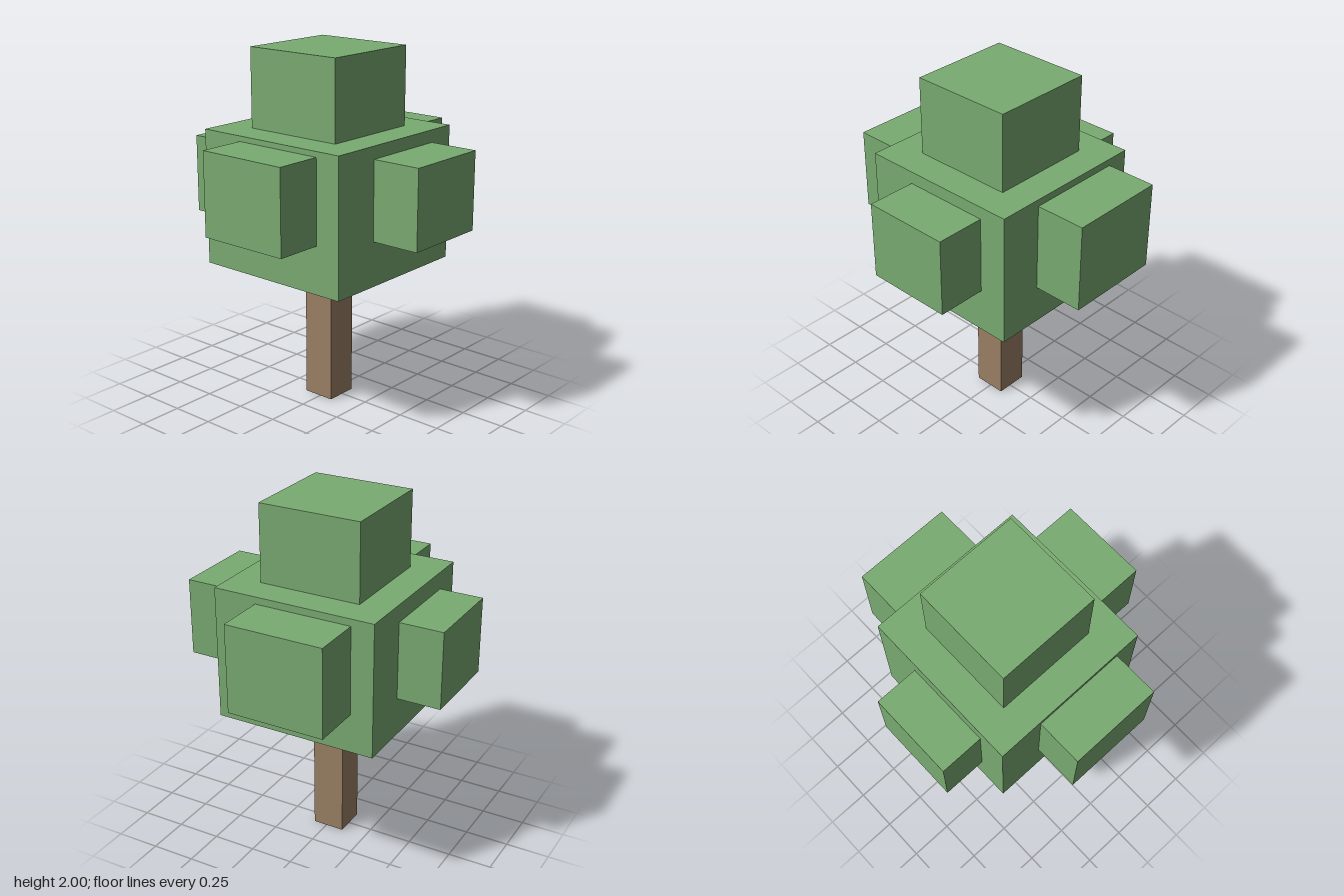
import * as THREE from 'three';

const leafMaterial = new THREE.MeshStandardMaterial({ color: 0x7aab72 });
const barkMaterial = new THREE.MeshStandardMaterial({ color: 0x9b8064 });

// Box spanning [min, max] on each axis
function block(name, material, [x0, x1], [y0, y1], [z0, z1]) {
  const mesh = new THREE.Mesh(new THREE.BoxGeometry(x1 - x0, y1 - y0, z1 - z0), material);
  mesh.position.set((x0 + x1) / 2, (y0 + y1) / 2, (z0 + z1) / 2);
  mesh.name = name;
  return mesh;
}

export function createModel() {
  const tree = new THREE.Group();
  tree.name = 'blockTree';

  // Trunk, ending just below the foliage
  tree.add(block('trunk', barkMaterial, [-0.1, 0.085], [0, 0.77], [-0.105, 0.08]));

  // Main foliage cube with a crown and four side clumps, each slightly sunk into it
  const foliage = new THREE.Group();
  foliage.name = 'foliage';
  const clumps = [
    ['foliageCore', [-0.48, 0.46], [0.8, 1.56], [-0.485, 0.455]],
    ['foliageCrown', [-0.3, 0.285], [1.54, 2], [-0.31, 0.28]],
    ['frontClump', [-0.2, 0.3], [1.05, 1.49], [0.43, 0.735]],
    ['backClump', [-0.315, 0.185], [1.02, 1.46], [-0.735, -0.46]],
    ['leftClump', [0.44, 0.745], [1.02, 1.52], [-0.355, 0.205]],
    ['rightClump', [-0.745, -0.46], [1.065, 1.53], [-0.225, 0.31]],
  ];
  for (const [name, x, y, z] of clumps) foliage.add(block(name, leafMaterial, x, y, z));
  tree.add(foliage);

  return tree;
}
